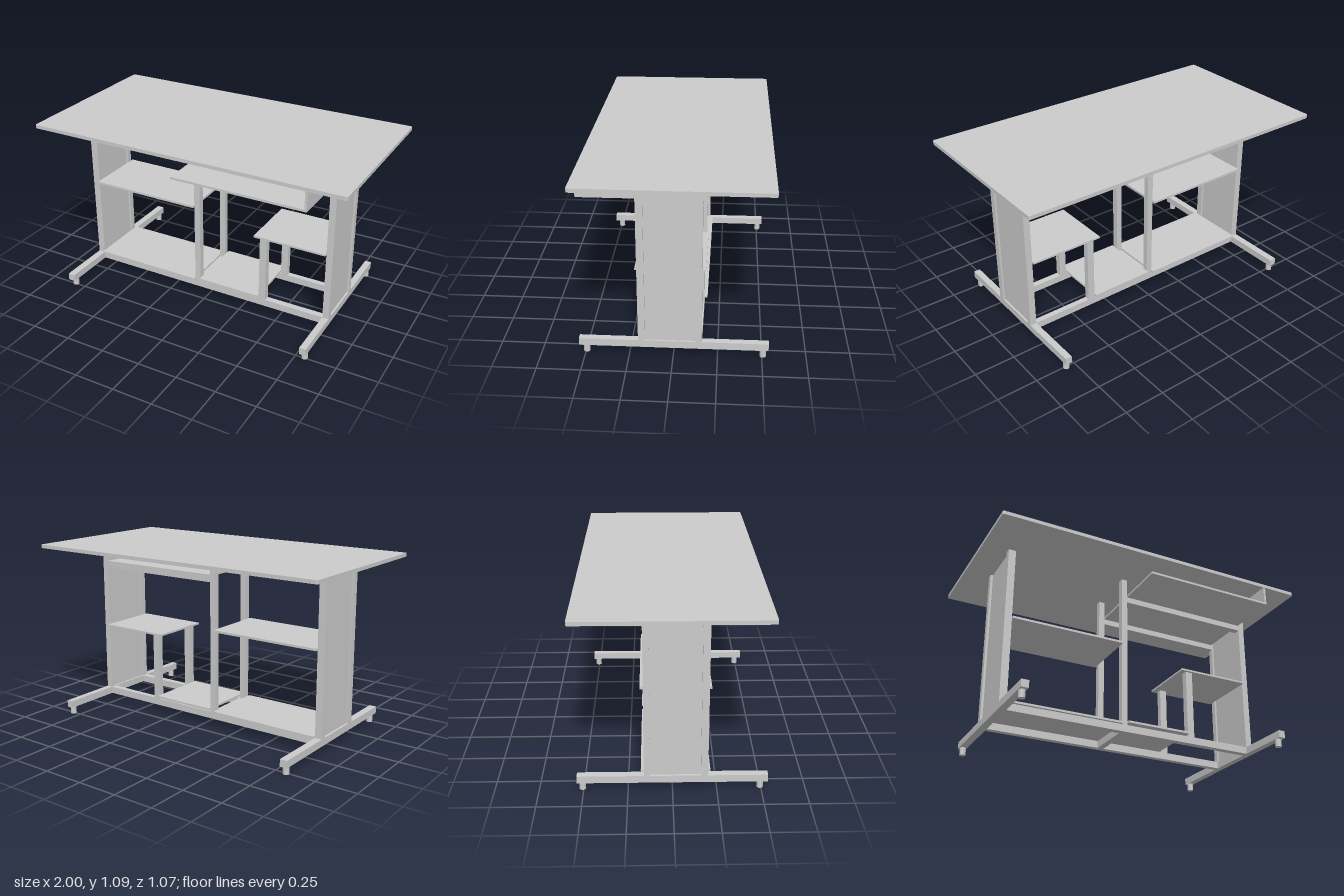
import * as THREE from 'three';

export function createModel() {
  const model = new THREE.Group();
  const mat = new THREE.MeshStandardMaterial({ color: 0xcccccc });

  function add(name, geometry) {
    const mesh = new THREE.Mesh(geometry, mat);
    mesh.name = name;
    model.add(mesh);
    return mesh;
  }
  // Box given by its minimum and maximum on each axis
  function box(name, x0, x1, y0, y1, z0, z1) {
    const mesh = add(name, new THREE.BoxGeometry(x1 - x0, y1 - y0, z1 - z0));
    mesh.position.set((x0 + x1) / 2, (y0 + y1) / 2, (z0 + z1) / 2);
    return mesh;
  }

  // Table top with slightly rounded corners
  const w = 1, z0 = -0.525, z1 = 0.537, r = 0.012;
  const s = new THREE.Shape();
  s.moveTo(-w + r, z0);
  s.lineTo(w - r, z0).quadraticCurveTo(w, z0, w, z0 + r);
  s.lineTo(w, z1 - r).quadraticCurveTo(w, z1, w - r, z1);
  s.lineTo(-w + r, z1).quadraticCurveTo(-w, z1, -w, z1 - r);
  s.lineTo(-w, z0 + r).quadraticCurveTo(-w, z0, -w + r, z0);
  const top = add('tableTop', new THREE.ExtrudeGeometry(s, { depth: 0.022, bevelEnabled: false, curveSegments: 4 }));
  top.rotation.x = -Math.PI / 2;
  top.position.y = 1.07;

  // Depth ranges of the front and back frame planes
  const planes = [['front', 0.16, 0.2], ['back', -0.16, -0.125]];

  // End frames: floor bar, feet, two posts and a recessed panel
  for (const [side, x0, x1] of [['right', -0.845, -0.8], ['left', 0.785, 0.825]]) {
    const cx = (x0 + x1) / 2;
    box(side + 'FloorBar', x0, x1, 0.046, 0.09, -0.537, 0.537);
    for (const z of [0.495, -0.506]) {
      add(side + 'Foot', new THREE.CylinderGeometry(0.019, 0.019, 0.046, 20)).position.set(cx, 0.023, z);
    }
    for (const [end, a, b] of planes) box(side + end + 'Post', x0, x1, 0.09, 1.07, a, b);
    box(side + 'EndPanel', cx - 0.008, cx + 0.008, 0.09, 1.07, -0.125, 0.16);
  }

  // Inner frame: base rails, middle posts, tray rails and short posts
  for (const [end, a, b] of planes) {
    box(end + 'BaseRail', -0.8, 0.785, 0.046, 0.09, a, b);
    box(end + 'MiddlePost', -0.09, -0.052, 0.09, 1.07, a, b);
    box(end + 'TrayRail', -0.052, 0.785, 0.912, 0.948, a, b);
    box(end + 'ShortPost', 0.36, 0.405, 0.09, 0.522, a, b);
  }
  box('baseCrossRail', -0.09, -0.052, 0.046, 0.09, -0.125, 0.16);

  // Shelves
  const zb = -0.178, zf = 0.215;
  box('upperShelf', -0.8, -0.09, 0.611, 0.625, zb, zf);
  box('lowerShelf', -0.8, -0.09, 0.09, 0.103, zb, zf);
  box('middleLowerShelf', -0.052, 0.36, 0.102, 0.115, zb, zf);
  box('sideShelf', 0.325, 0.785, 0.52, 0.532, zb, zf);

  // Front tray with its side wall
  box('tray', -0.052, 0.782, 0.948, 0.962, zb, 0.523);
  box('traySideWall', 0.768, 0.782, 0.962, 1.07, zb, 0.523);

  return model;
}
